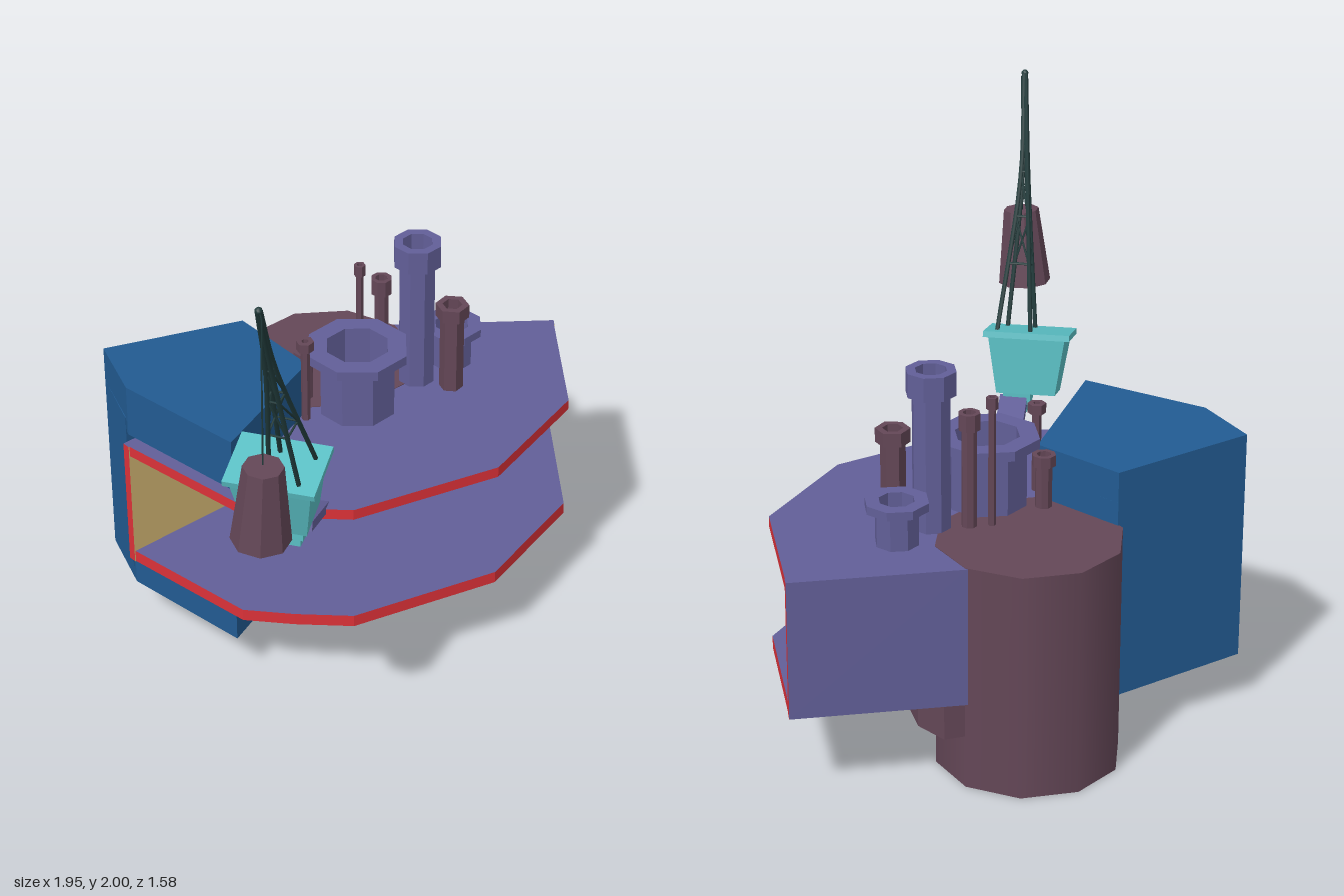
import * as THREE from 'three';

const mat = (name, color) => {
  const m = new THREE.MeshStandardMaterial({ color });
  m.name = name;
  return m;
};

export function createModel() {
  const purple = mat('purple', 0x625f98), brown = mat('brown', 0x644757);
  const blue = mat('blue', 0x225b92), tan = mat('tan', 0xcfb371);
  const red = mat('red', 0xdb3138), cyan = mat('cyan', 0x5abfc4);
  const dark = mat('darkGreen', 0x213b3b);
  const root = new THREE.Group();
  root.name = 'craneStation';
  const V = (x, y, z) => new THREE.Vector3(x, y, z);

  const add = (name, geo, material, parent = root) => {
    const m = new THREE.Mesh(geo, material);
    m.name = name;
    parent.add(m);
    return m;
  };
  const flat = (geo) => {
    const g = geo.index ? geo.toNonIndexed() : geo;
    g.computeVertexNormals();
    return g;
  };
  // Upright prism over a plan outline of [x, z] points
  const prism = (pts, y0, y1, slope = 0) => {
    const shape = new THREE.Shape(pts.map(([x, z]) => new THREE.Vector2(x, -z)));
    const g = new THREE.ExtrudeGeometry(shape, { depth: y1 - y0, bevelEnabled: false });
    g.rotateX(-Math.PI / 2).translate(0, y0, 0);
    const p = g.attributes.position;
    for (let i = 0; i < p.count; i++) p.setY(i, p.getY(i) + slope * (p.getX(i) + 0.72));
    g.computeVertexNormals();
    return g;
  };
  const rod = (name, points, r, material, parent = root) =>
    add(name, new THREE.TubeGeometry(new THREE.CatmullRomCurve3(points), points.length > 2 ? 12 : 1, r, 5), material, parent);

  // Floor and roof slabs with red edges
  const outline = [[-0.745, -0.43], [-0.6, 0.095], [-0.465, 0.215], [-0.3, 0.34], [0.25, 0.415],
    [0.7, 0.225], [0.97, -0.22], [0.46, -0.53], [0.14, -0.5], [-0.17, -0.5]];
  add('floorSlab', prism(outline, 0.315, 0.36), [purple, red]);
  add('roofSlab', prism(outline, 0.775, 0.815), [purple, red]);

  // Side walls: purple outside, tan inside, red front ends
  const wall = (name, a, b) => {
    const dx = b[0] - a[0], dz = b[1] - a[1], len = Math.hypot(dx, dz);
    const right = a[0] > 0;
    const sides = [right ? red : purple, right ? purple : red, purple, purple, tan, purple];
    const m = add(name, new THREE.BoxGeometry(len, 0.5, 0.03), sides);
    // The box's +z face looks into the open hall
    const s = right ? -1 : 1;
    m.rotation.y = Math.atan2(-dz * s, dx * s);
    const n = V(0, 0, 1).applyEuler(m.rotation);
    m.position.set((a[0] + b[0]) / 2, 0.565, (a[1] + b[1]) / 2).addScaledVector(n, 0.011);
  };
  wall('rightWall', [0.972, -0.22], [0.46, -0.53]);
  wall('leftWall', [-0.745, -0.43], [-0.165, -0.5]);

  // Ten-sided drum, its hall front and the collar under the floor
  const drum = new THREE.Group();
  drum.name = 'drum';
  drum.position.set(0.144, 0, -0.48);
  drum.rotation.y = -0.178;
  root.add(drum);
  add('drumBody', new THREE.CylinderGeometry(0.324, 0.324, 0.817, 10).translate(0, 0.4085, 0), brown, drum);
  add('hallFront', new THREE.CylinderGeometry(0.328, 0.328, 0.42, 5, 1, true, -0.4 * Math.PI, Math.PI)
    .translate(0, 0.567, 0), purple, drum);
  add('drumCollar', prism([[-0.195, -0.42], [-0.13, -0.2], [0.04, -0.09], [0.26, -0.08], [0.45, -0.19],
    [0.535, -0.36], [0.53, -0.49], [0.46, -0.52], [-0.17, -0.5]], 0.19, 0.315), brown);

  // Door
  const door = new THREE.Group();
  door.name = 'door';
  door.position.set(0.175, 0.36, -0.168);
  door.rotation.y = 0.136;
  root.add(door);
  for (const s of [-1, 1])
    add('doorJamb', new THREE.BoxGeometry(0.013, 0.265, 0.04).translate(s * 0.059, 0.1325, 0), cyan, door);
  add('doorLintel', new THREE.BoxGeometry(0.131, 0.022, 0.04).translate(0, 0.255, 0), cyan, door);
  add('doorPanel', new THREE.BoxGeometry(0.106, 0.246, 0.02).translate(0, 0.123, 0), brown, door);

  // Blue annex, wrapping above and below the hall
  const plan = [[-0.66, -0.7], [-0.14, -0.61], [-0.1, -0.25], [-0.59, 0.035], [-0.72, -0.44]];
  const back = [[-0.66, -0.7], [-0.14, -0.61], [-0.13, -0.53], [-0.719, -0.458]];
  add('annexTop', prism(plan, 0.84, 1.037, -0.045), blue);
  add('annexMiddle', prism(back, 0.25, 0.9), blue);
  add('annexBottom', prism(plan, 0.193, 0.3, -0.045), blue);

  // Open chimneys: x, z, body radius, rim radius, rim bottom, top, sides, colour
  const chimneys = [
    [0.06, -0.17, 0.14, 0.185, 1.035, 1.07, 8, purple],
    [0.335, -0.2, 0.067, 0.088, 1.3, 1.385, 8, purple],
    [0.505, -0.222, 0.076, 0.112, 0.942, 0.972, 8, purple],
    [0.408, -0.087, 0.043, 0.06, 1.11, 1.16, 6, brown],
    [0.237, -0.28, 0.027, 0.038, 1.17, 1.23, 8, brown],
    [0.175, -0.325, 0.013, 0.021, 1.24, 1.282, 6, brown],
    [-0.06, -0.325, 0.03, 0.042, 0.97, 1.01, 8, brown],
    [-0.135, -0.205, 0.016, 0.032, 1.105, 1.14, 6, brown],
  ];
  for (const [x, z, r, R, y0, y1, n, m] of chimneys) {
    const inner = r * 0.82;
    const profile = [[r, 0.81], [r, y0], [R, y0], [R, y1], [inner, y1], [inner, 0.81]]
      .map(([a, b]) => new THREE.Vector2(a, b));
    const c = add('chimney', flat(new THREE.LatheGeometry(profile, n, -0.2)), m);
    c.position.set(x, 0, z);
  }
  add('chimneyCore', new THREE.CylinderGeometry(0.03, 0.03, 0.1, 6).translate(0.505, 0.86, -0.222), brown);
  add('chimneyCore', new THREE.CylinderGeometry(0.05, 0.05, 0.4, 8).translate(0.335, 1.05, -0.2), brown);

  // Crane support arm and pivot
  const armA = V(-0.54, 0.872, 0.365), armB = V(-0.38, 0.8, 0.22);
  const arm = add('craneArm', new THREE.BoxGeometry(0.1, 0.035, armA.distanceTo(armB)), purple);
  arm.position.copy(armA).lerp(armB, 0.5);
  arm.lookAt(armB);
  const pivot = new THREE.Group();
  pivot.name = 'cranePivot';
  pivot.position.set(-0.565, 0, 0.37);
  pivot.rotation.y = -0.877;
  root.add(pivot);
  add('pivotUpper', new THREE.BoxGeometry(0.1, 0.06, 0.08).translate(0, 0.885, 0), cyan, pivot);
  add('pivotLower', new THREE.BoxGeometry(0.075, 0.05, 0.06).translate(0, 0.848, 0), cyan, pivot);

  // Tapered cabin, leaning forward, with a flat rim
  const cabin = new THREE.Group();
  cabin.name = 'craneCabin';
  cabin.position.set(-0.6, 1.122, 0.345);
  cabin.rotation.set(0.23, -0.877, 0, 'YXZ');
  root.add(cabin);
  const body = new THREE.BoxGeometry(0.28, 0.21, 0.2);
  const bp = body.attributes.position;
  for (let i = 0; i < bp.count; i++)
    if (bp.getY(i) < 0) bp.setXYZ(i, bp.getX(i) * 0.77, bp.getY(i), bp.getZ(i) * 0.77 + 0.015);
  add('cabinBody', flat(body).translate(0, -0.115, 0), cyan, cabin);
  add('cabinRim', new THREE.BoxGeometry(0.315, 0.022, 0.225), cyan, cabin);

  // Lattice boom: four bowed legs with cross braces
  const boom = new THREE.Group();
  boom.name = 'craneBoom';
  root.add(boom);
  const tip = V(-0.857, 1.985, 0.668);
  const feet = [V(-0.56, 1.13, 0.3), V(-0.485, 1.13, 0.4), V(-0.59, 1.09, 0.46), V(-0.65, 1.09, 0.37)];
  const legs = feet.map((f) => {
    const mid = f.clone().lerp(tip, 0.62).lerp(V(-0.725, 1.65, 0.505), 0.5);
    const end = tip.clone().add(f.clone().sub(V(-0.57, 1.11, 0.38)).multiplyScalar(0.05));
    const pts = [f, mid, end];
    rod('boomLeg', pts, 0.0085, dark, boom);
    return new THREE.CatmullRomCurve3(pts);
  });
  const levels = [0.27, 0.45, 0.62, 0.78];
  levels.forEach((t, k) => {
    for (let i = 0; i < 4; i++) {
      const a = legs[i], b = legs[(i + 1) % 4];
      rod('boomRing', [a.getPointAt(t), b.getPointAt(t)], 0.004, dark, boom);
      if (k < 3) rod('boomBrace', [a.getPointAt(t), b.getPointAt(levels[k + 1])], 0.004, dark, boom);
    }
  });
  add('boomTip', new THREE.SphereGeometry(0.013, 8, 6).translate(tip.x, tip.y, tip.z), dark, boom);

  // Rope and hanging weight
  rod('rope', [V(-0.855, 1.99, 0.668), V(-0.858, 1.996, 0.682), V(-0.866, 1.75, 0.69), V(-0.874, 1.44, 0.697)], 0.003, dark);
  const weight = add('weight', flat(new THREE.CylinderGeometry(0.066, 0.098, 0.285, 8)), brown);
  weight.position.set(-0.88, 1.305, 0.697);
  weight.rotation.set(0.06, 0.2, -0.02);

  return root;
}
